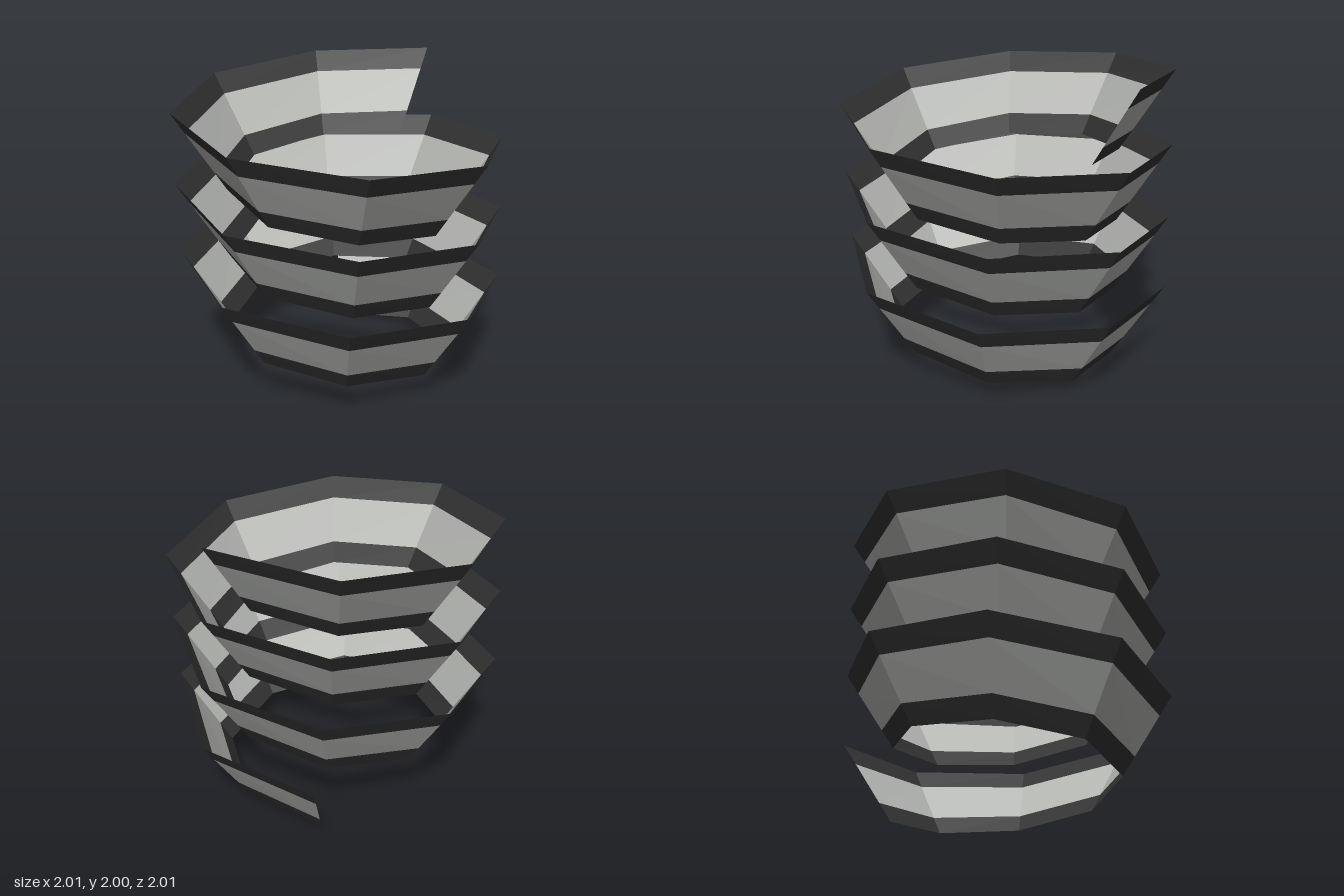
import * as THREE from 'three';

const SEGMENTS = 25;               // straight facets along the spiral
const START = -107.0;              // degrees, measured from +x towards +z
const STEP = 44.65;                // degrees per facet
const RISE = 1.48 / SEGMENTS;      // climb per facet
const HEIGHT = 0.52;               // vertical height of the ribbon
const R_LOW = 0.725, R_HIGH = 1.057;

// Point on the ribbon: k = facet index, v = 0 lower edge .. 1 upper edge
function ribbonPoint(k, v) {
  const a = THREE.MathUtils.degToRad(START + STEP * k);
  const r = THREE.MathUtils.lerp(R_LOW, R_HIGH, v);
  return [r * Math.cos(a), RISE * k + HEIGHT * v, r * Math.sin(a)];
}

// One band of the ribbon between heights v0 and v1
function band(name, v0, v1, material) {
  const pos = [];
  for (let k = 0; k < SEGMENTS; k++) {
    const a = ribbonPoint(k, v0), b = ribbonPoint(k + 1, v0);
    const c = ribbonPoint(k + 1, v1), d = ribbonPoint(k, v1);
    pos.push(...a, ...d, ...c, ...a, ...c, ...b);
  }
  const geo = new THREE.BufferGeometry();
  geo.setAttribute('position', new THREE.Float32BufferAttribute(pos, 3));
  geo.computeVertexNormals(); // unshared corners give flat facets
  const mesh = new THREE.Mesh(geo, material);
  mesh.name = name;
  return mesh;
}

export function createModel() {
  const dark = new THREE.MeshStandardMaterial({ color: 0x333333, side: THREE.DoubleSide, flatShading: true });
  dark.name = 'charcoal';
  const light = new THREE.MeshStandardMaterial({ color: 0xb8bab6, side: THREE.DoubleSide, flatShading: true });
  light.name = 'light grey';

  const group = new THREE.Group();
  group.name = 'spiralRibbon';
  group.add(
    band('lowerBorder', 0, 0.24, dark),
    band('middleBand', 0.24, 0.75, light),
    band('upperBorder', 0.75, 1, dark),
  );
  return group;
}
